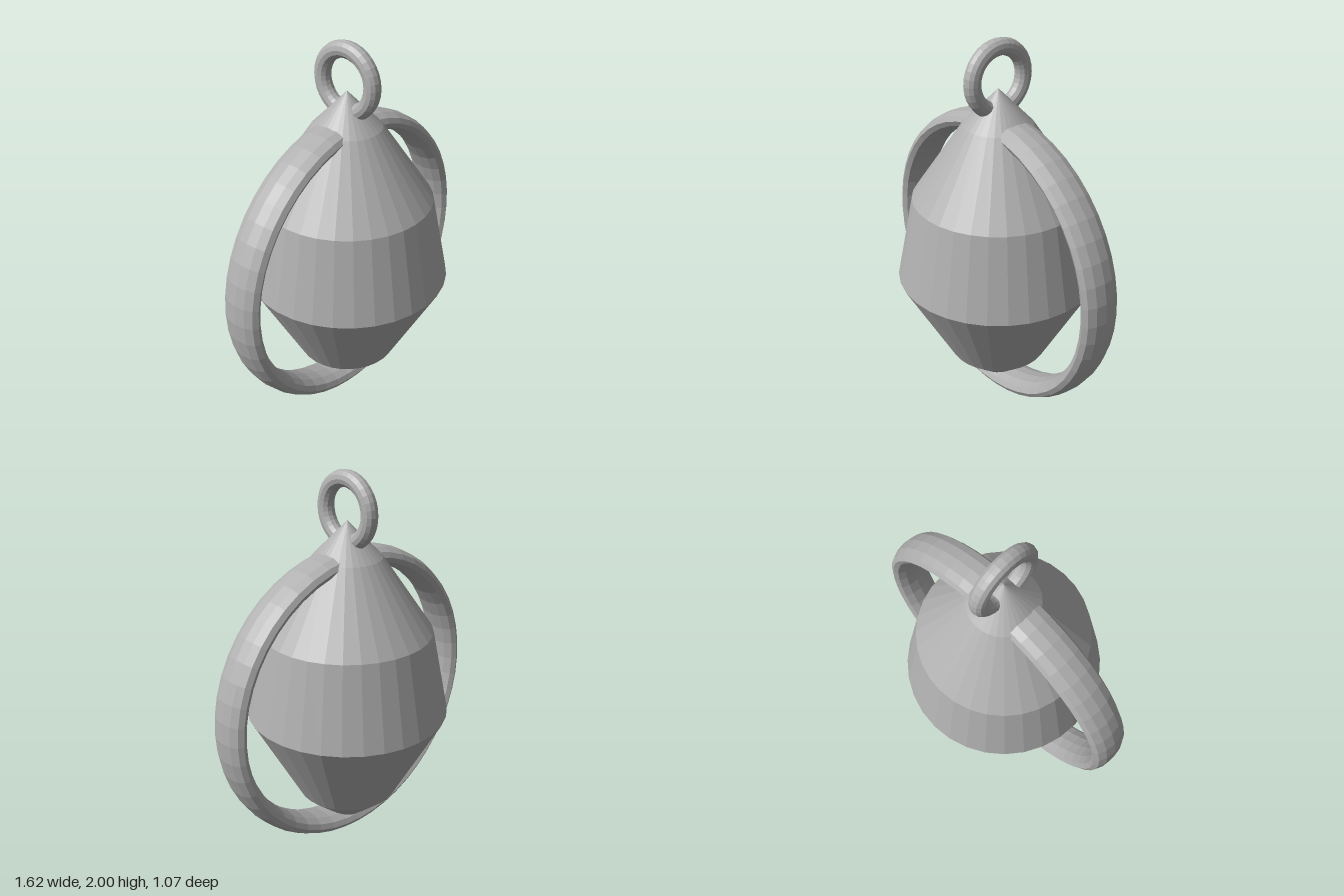
import * as THREE from 'three';

export function createModel() {
  const group = new THREE.Group();
  const metal = new THREE.MeshStandardMaterial({ color: 0xb0b0b0, flatShading: true });
  metal.name = 'grey metal';

  const add = (name, geometry, y) => {
    const mesh = new THREE.Mesh(geometry, metal);
    mesh.name = name;
    mesh.position.y = y;
    group.add(mesh);
    return mesh;
  };

  // Faceted drop-shaped body, [radius, height] from the lower tip up
  const profile = [[0, 0], [0.268, 0.235], [0.535, 0.73], [0.445, 1.178], [0.18, 1.568], [0, 1.752]]
    .map(([r, y]) => new THREE.Vector2(r, y));
  add('body', new THREE.LatheGeometry(profile, 32), 0);

  // Large band around the body: a torus with its section stretched front to back
  const band = new THREE.TorusGeometry(0.757, 0.051, 12, 48);
  band.scale(1, 1, 0.11 / 0.051);
  add('outerRing', band, 0.813);

  // Small hanging loop, turned across the band
  const loop = new THREE.TorusGeometry(0.157, 0.043, 12, 32);
  loop.rotateY(Math.PI / 2);
  add('hangingLoop', loop, 1.8);

  return group;
}
